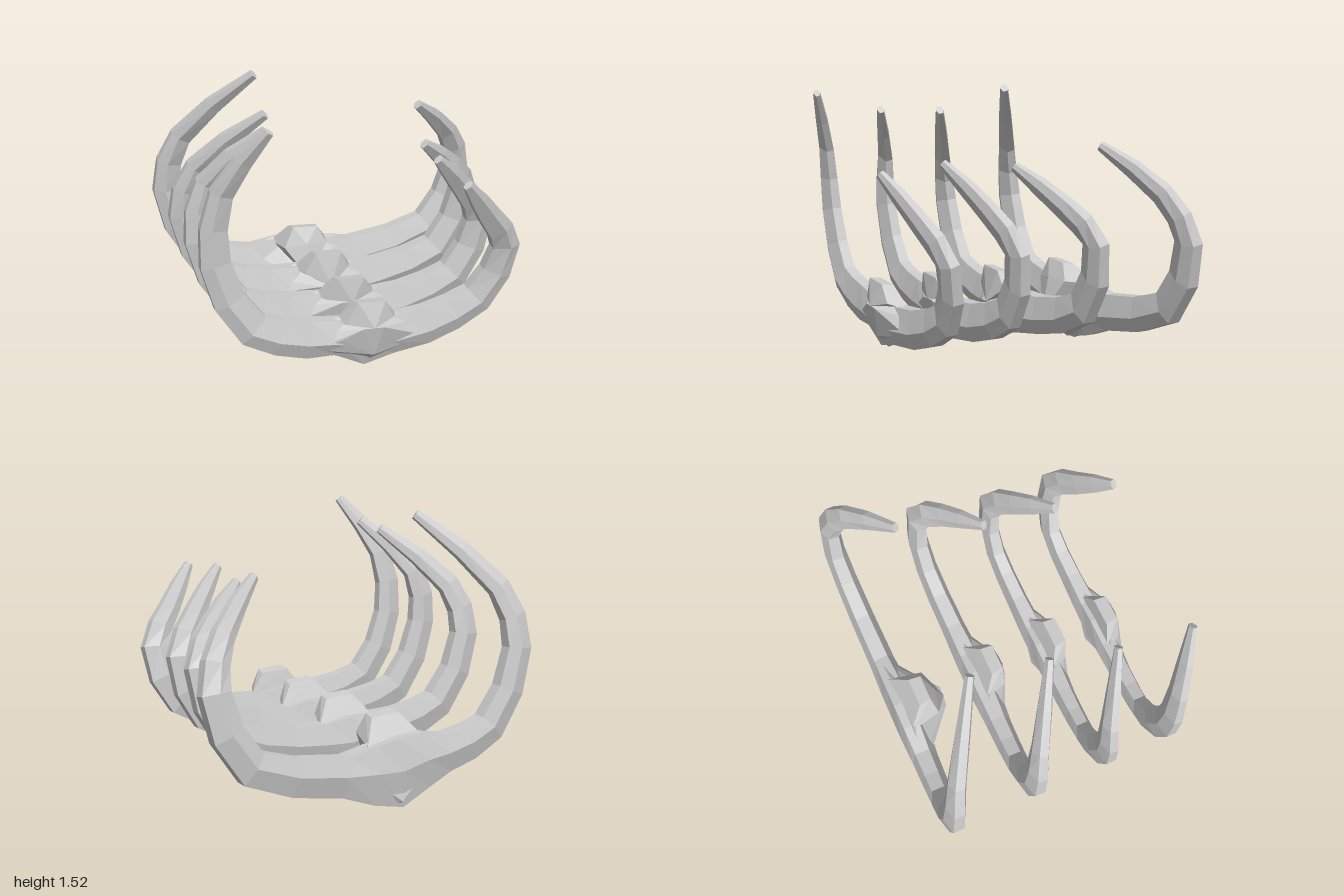
import * as THREE from 'three';
import { ConvexGeometry } from 'three/addons/geometries/ConvexGeometry.js';

const material = new THREE.MeshStandardMaterial({ color: 0xcccccc, flatShading: true });
const Z = new THREE.Vector3(0, 0, 1);
const V = (p) => new THREE.Vector3(...p);

// Faceted six-sided section: [radial, depth]
const SECTION = [[1, 0.5], [1, -0.6], [-0.1, -1], [-1, -0.6], [-1, 0.5], [0.2, 1]];

// Loft the section along a path; sizes holds [radial width, depth] per point
function loft(path, sizes) {
  const n = SECTION.length, pos = [], index = [];
  path.forEach((p, i) => {
    const t = path[Math.min(i + 1, path.length - 1)].clone().sub(path[Math.max(i - 1, 0)]).normalize();
    const u = t.clone().cross(Z).normalize();
    const v = u.clone().cross(t);
    for (const [a, b] of SECTION) {
      const q = p.clone().addScaledVector(u, a * sizes[i][0] / 2).addScaledVector(v, b * sizes[i][1] / 2);
      pos.push(q.x, q.y, q.z);
    }
  });
  for (let i = 0; i < path.length - 1; i++) {
    for (let j = 0; j < n; j++) {
      const a = i * n + j, b = i * n + (j + 1) % n;
      index.push(a, b, b + n, a, b + n, a + n);
    }
  }
  const end = (path.length - 1) * n;
  for (let j = 1; j < n - 1; j++) index.push(0, j + 1, j, end, end + j, end + j + 1);
  const g = new THREE.BufferGeometry();
  g.setAttribute('position', new THREE.Float32BufferAttribute(pos, 3));
  g.setIndex(index);
  const flat = g.toNonIndexed();
  flat.computeVertexNormals();
  return flat;
}

// Rib course from tip to root; the hip follows from the elbow
function ribPath(keel, tip, shoulder, elbow, root) {
  const hip = [elbow[0] * 0.8, 0.36 + 0.35 * keel, 0.07];
  return new THREE.CatmullRomCurve3([tip, shoulder, elbow, hip, root].map(V)).getPoints(8);
}

// Ribs thicken from tip (t = 0) to root (t = 1)
function ribSizes(depth) {
  return Array.from({ length: 9 }, (_, i) => {
    const k = (i / 8) ** 0.6;
    return [0.05 + 0.16 * k, (0.045 + 0.1 * k) * depth];
  });
}

// Middle of the bar: x, height of the underside above the keel, top
const MIDDLE = [[-0.29, 0.09, 0.39], [-0.13, 0.01, 0.39], [0.02, 0.05, 0.37]];

function createSegment({ back, depth, right, left, keel, nose, crown }) {
  const group = new THREE.Group();
  group.name = 'ribSegment';
  group.position.z = back;
  const add = (name, geometry) => {
    const mesh = new THREE.Mesh(geometry, material);
    mesh.name = name;
    group.add(mesh);
  };

  // Both ribs run as one continuous bar, deepening into a keel in the middle
  const rightPath = ribPath(keel, ...right, [-0.915, 0.78, 0.07], [-0.44, 0.26 + 0.4 * keel, 0.075]);
  const leftPath = ribPath(keel, ...left, [0.22, 0.23 + 0.5 * keel, 0.075]).reverse();
  const middlePath = MIDDLE.map(([x, rise, top]) => V([x, (keel + rise + top) / 2, 0.08]));
  const middleSizes = MIDDLE.map(([, rise, top]) => [top - keel - rise, 0.165 * depth]);
  const sizes = ribSizes(depth);
  add('ribPair', loft(
    [...rightPath, ...middlePath, ...leftPath],
    [...sizes, ...middleSizes, ...[...sizes].reverse()],
  ));

  // Vertebra body bulging forward from the bar
  const [noseY, noseZ] = nose;
  add('vertebraBody', new ConvexGeometry([
    [-0.13, keel, 0.08], [-0.13, keel + 0.05, 0.005], [0, keel + 0.05, 0.08], [-0.27, keel + 0.1, 0.08],
    [-0.1, keel + 0.08, noseZ * 0.8], [-0.17, noseY, noseZ - 0.01], [-0.06, noseY, noseZ],
    [-0.44, 0.33, 0.06], [-0.42, 0.25, 0.12], [0.22, 0.32, 0.06], [0.2, 0.24, 0.12],
    [-0.28, 0.4, 0.08], [0.05, 0.38, 0.08], [-0.28, 0.3, 0.16], [0.07, 0.3, 0.16],
  ].map(V)));

  // Raised process on the inner front of the vertebra
  const browZ = (noseZ + crown) / 2;
  add('vertebraProcess', new ConvexGeometry([
    [-0.19, 0.5, crown], [-0.04, 0.49, crown], [-0.2, 0.49, crown - 0.07], [-0.03, 0.48, crown - 0.07],
    [-0.25, 0.38, browZ - 0.03], [0.01, 0.39, browZ - 0.03], [-0.12, 0.4, browZ],
    [-0.11, noseY, noseZ], [-0.29, 0.37, 0.06], [0.06, 0.36, 0.06],
  ].map(V)));
  return group;
}

export function createModel() {
  const model = new THREE.Group();
  model.name = 'ribCage';
  // right: tip, shoulder; left: tip, shoulder, elbow; z is from the back plane
  model.add(
    createSegment({
      back: -0.8, depth: 1.05, keel: 0, nose: [0.18, 0.33], crown: 0.23,
      right: [[-0.45, 1.5, 0.39], [-0.83, 1.11, 0.14]],
      left: [[0.54, 1.24, 0.39], [0.82, 1, 0.19], [0.92, 0.75, 0.09]],
    }),
    createSegment({
      back: -0.33, depth: 1, keel: 0.08, nose: [0.3, 0.245], crown: 0.21,
      right: [[-0.5, 1.38, 0.33], [-0.84, 1.06, 0.13]],
      left: [[0.4, 1.14, 0.37], [0.63, 0.95, 0.22], [0.76, 0.76, 0.1]],
    }),
    createSegment({
      back: 0.09, depth: 0.9, keel: 0.1, nose: [0.36, 0.205], crown: 0.19,
      right: [[-0.59, 1.39, 0.25], [-0.87, 1.09, 0.09]],
      left: [[0.32, 1.17, 0.335], [0.53, 0.95, 0.2], [0.67, 0.73, 0.1]],
    }),
    createSegment({
      back: 0.45, depth: 0.9, keel: 0.11, nose: [0.36, 0.2], crown: 0.16,
      right: [[-0.67, 1.49, 0.25], [-0.88, 1.16, 0.11]],
      left: [[0.33, 1.14, 0.335], [0.51, 0.92, 0.22], [0.65, 0.71, 0.13]],
    }),
  );
  return model;
}
